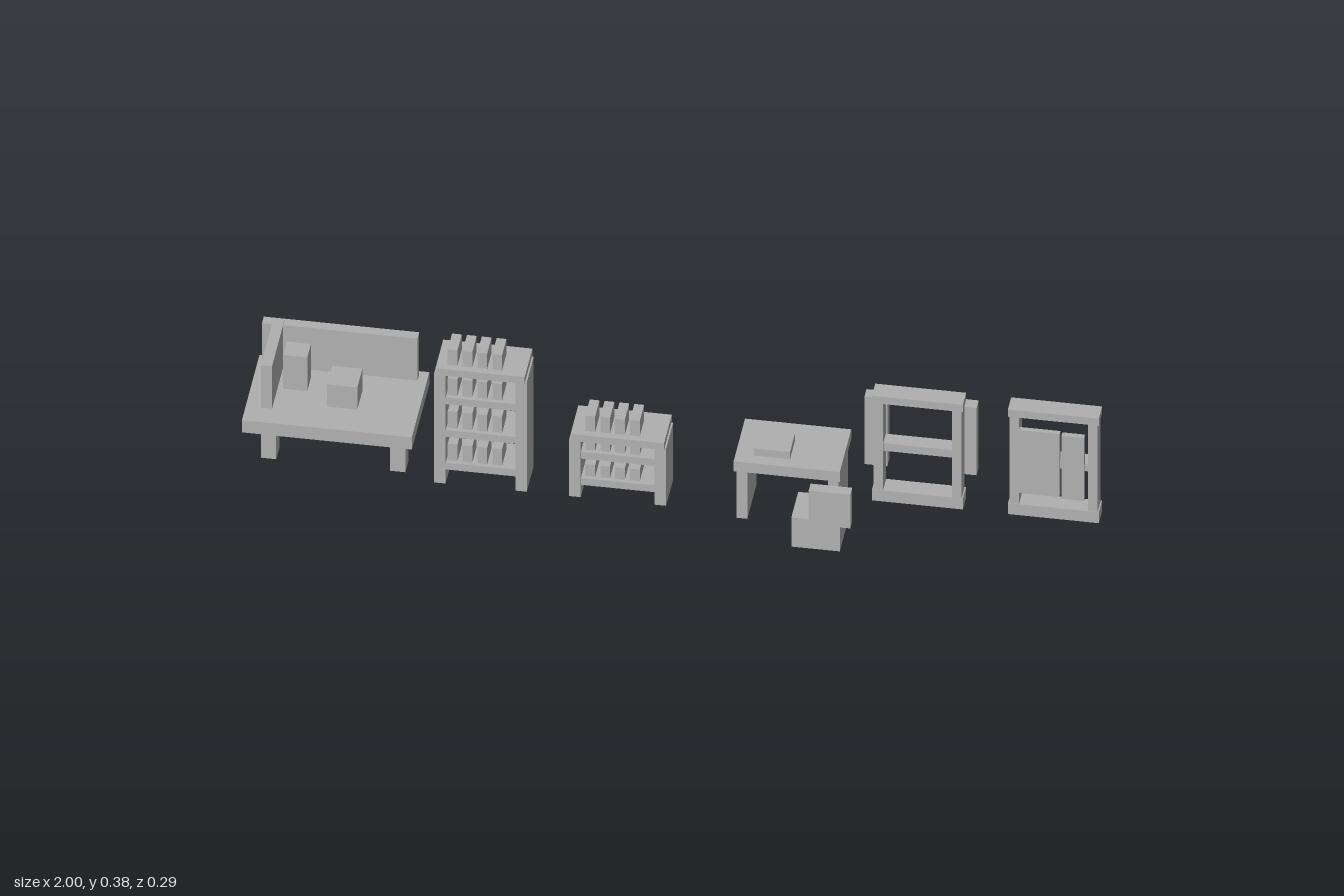
import * as THREE from 'three';

const grey = new THREE.MeshStandardMaterial({ color: 0xb0b0b0 });
grey.name = 'plain grey';

// Box given by its minimum and maximum on each axis
function box(parent, name, x0, x1, y0, y1, z0, z1) {
  const mesh = new THREE.Mesh(new THREE.BoxGeometry(x1 - x0, y1 - y0, z1 - z0), grey);
  mesh.position.set((x0 + x1) / 2, (y0 + y1) / 2, (z0 + z1) / 2);
  mesh.name = name;
  parent.add(mesh);
}

function part(root, name) {
  const g = new THREE.Group();
  g.name = name;
  root.add(g);
  return g;
}

// Open shelf unit: two sides, a top slab, inner boards and a row of bottles on each
function shelfUnit(root, name, x0, x1, top, boards, bottleX, innerHeight) {
  const g = part(root, name);
  box(g, 'side', x0, x0 + 0.027, 0, top - 0.019, -0.068, 0.032);
  box(g, 'side', x1 - 0.027, x1, 0, top - 0.019, -0.068, 0.032);
  box(g, 'topSlab', x0 + 0.004, x1 - 0.004, top - 0.02, top, -0.073, 0.037);
  for (const y of boards) box(g, 'board', x0 + 0.02, x1 - 0.02, y - 0.02, y, -0.066, 0.03);
  for (const y of [...boards, top]) {
    const h = y === top ? 0.045 : innerHeight;
    for (let i = 0; i < 4; i++) {
      const x = bottleX + i * 0.035;
      box(g, 'bottle', x, x + 0.023, y, y + h, -0.042, 0.02);
    }
  }
}

// Window frame: two posts and three rails
function windowFrame(root, name, x0, x1) {
  const g = part(root, name);
  box(g, 'post', x0 + 0.003, x0 + 0.026, 0.062, 0.345, -0.039, 0.004);
  box(g, 'post', x1 - 0.026, x1 - 0.003, 0.062, 0.345, -0.039, 0.004);
  box(g, 'topRail', x0, x1, 0.343, 0.364, -0.041, 0.006);
  box(g, 'middleRail', x0 + 0.02, x1 - 0.02, 0.202, 0.224, -0.036, 0.001);
  box(g, 'bottomRail', x0, x1, 0.056, 0.088, -0.04, 0.005);
  return g;
}

export function createModel() {
  const root = new THREE.Group();
  root.name = 'furnitureRow';

  // Long counter with two legs, a back board and a side board
  const counter = part(root, 'counter');
  box(counter, 'counterTop', -1, -0.6, 0.149, 0.185, -0.143, 0.107);
  for (const x of [-0.972, -0.668]) box(counter, 'leg', x, x + 0.036, 0, 0.149, -0.041, 0.005);
  box(counter, 'backBoard', -0.988, -0.622, 0.185, 0.308, -0.132, -0.107);
  box(counter, 'sideBoard', -0.964, -0.938, 0.185, 0.31, -0.127, 0.053);
  box(counter, 'tallBox', -0.925, -0.868, 0.185, 0.284, -0.078, -0.026);
  box(counter, 'lowBox', -0.813, -0.742, 0.185, 0.25, -0.048, 0.024);

  // Tall and short shelves
  shelfUnit(root, 'tallShelf', -0.56, -0.342, 0.34, [0.06, 0.156, 0.252], -0.53, 0.048);
  shelfUnit(root, 'shortShelf', -0.242, -0.014, 0.187, [0.055, 0.132], -0.206, 0.034);

  // Desk with panel legs and a book
  const desk = part(root, 'desk');
  box(desk, 'deskTop', 0.15, 0.4, 0.147, 0.176, -0.1, 0.064);
  for (const x of [0.155, 0.37]) box(desk, 'panelLeg', x, x + 0.025, 0, 0.147, -0.084, 0.05);
  box(desk, 'book', 0.192, 0.278, 0.176, 0.197, -0.04, 0.035);

  // Block chair with a back rest
  const chair = part(root, 'chair');
  box(chair, 'seat', 0.298, 0.412, 0, 0.086, 0.039, 0.137);
  box(chair, 'backRest', 0.34, 0.438, 0.077, 0.176, 0.118, 0.145);

  // Window with shutters on its back
  const shutterWindow = windowFrame(root, 'shutterWindow', 0.466, 0.68);
  for (const x of [0.441, 0.651]) box(shutterWindow, 'shutter', x, x + 0.054, 0.126, 0.324, -0.068, -0.039);

  // Window with two hanging panels
  const panelWindow = windowFrame(root, 'panelWindow', 0.786, 1);
  box(panelWindow, 'widePanel', 0.808, 0.908, 0.122, 0.307, -0.006, 0.006);
  box(panelWindow, 'narrowPanel', 0.913, 0.966, 0.122, 0.307, -0.002, 0.012);

  return root;
}
